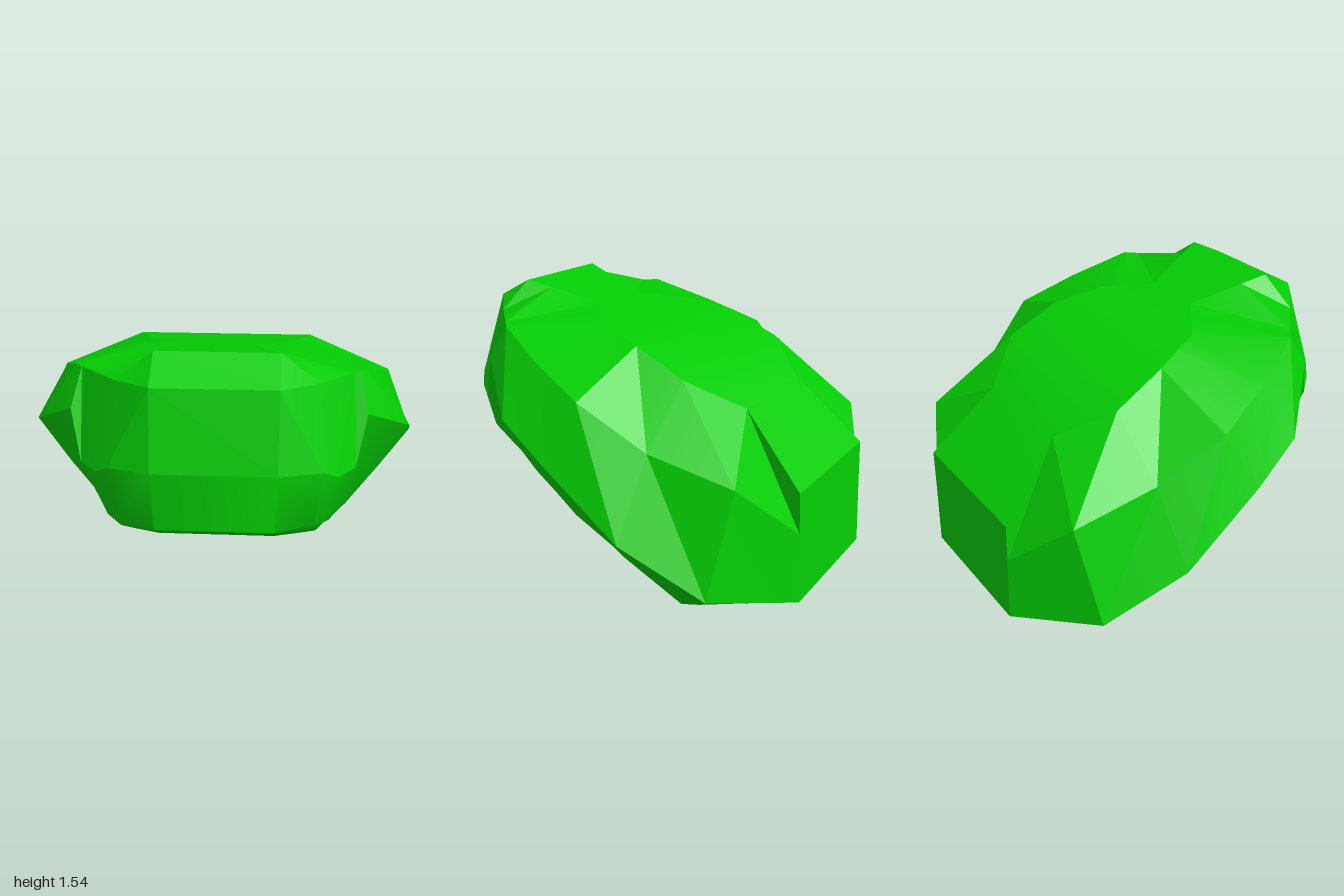
import * as THREE from 'three';
import { toCreasedNormals } from 'three/addons/utils/BufferGeometryUtils.js';

const green = new THREE.MeshStandardMaterial({ color: 0x04cc04 });
green.name = 'bright green';
const dark = new THREE.MeshStandardMaterial({ color: 0x042006 });
dark.name = 'dark underside';

// Vertical sections of the left half, front to back.
// Each runs: crown edge, shoulder, band top, band bottom, rim.
const P = (x, y, z) => new THREE.Vector3(x, y, z);
const sections = [
  [P(.28, 1.54, .73), P(.28, 1.44, .92), P(.28, 1.07, 1), P(.27, .79, 1), P(.27, .67, .83)],
  [P(.24, 1.51, .60), P(.46, 1.41, .75), P(.48, 1.05, .91), P(.45, .78, .90), P(.40, .65, .76)],
  [P(.15, 1.44, .33), P(.61, 1.40, .59), P(.55, 1.00, .85), P(.51, .76, .82), P(.47, .64, .72)],
  [P(.26, 1.42, .24), P(.64, 1.40, .56), P(.64, .99, .73), P(.58, .78, .68), P(.50, .61, .61)],
  [P(.36, 1.40, .16), P(.67, 1.40, .53), P(.69, 1.22, .64), P(.64, .88, .58), P(.55, .57, .50)],
  [P(.40, 1.38, .03), P(.79, 1.29, .23), P(.94, 1.03, .33), P(.79, .78, .32), P(.62, .52, .30)],
  [P(.45, 1.35, -.11), P(.87, 1.18, -.07), P(.99, .89, .06), P(.84, .68, .09), P(.67, .46, .13)],
  [P(.47, 1.23, -.39), P(.76, .96, -.38), P(.99, .59, -.37), P(.83, .43, -.29), P(.63, .26, -.20)],
  [P(.28, 1.08, -.63), P(.67, .85, -.79), P(.82, .33, -.74), P(.68, .20, -.62), P(.57, .08, -.45)],
  [P(.37, .76, -.97), P(.37, .55, -.98), P(.37, .18, -1), P(.36, .07, -.73), P(.33, 0, -.55)],
];
const last = sections.length - 1;
const mirror = (v) => P(-v.x, v.y, v.z);

function quad(out, a, b, c, d) {
  for (const v of [a, b, c, a, c, d]) out.push(v.x, v.y, v.z);
}

// Symmetric wall between two levels, closed at the front and back
function wall(out, up, low) {
  for (let i = 0; i < last; i++) {
    const a = sections[i][up], b = sections[i][low];
    const c = sections[i + 1][low], d = sections[i + 1][up];
    quad(out, a, b, c, d);
    quad(out, mirror(a), mirror(d), mirror(c), mirror(b));
  }
  const f = sections[0], r = sections[last];
  quad(out, mirror(f[up]), mirror(f[low]), f[low], f[up]);
  quad(out, r[up], r[low], mirror(r[low]), mirror(r[up]));
}

// Strips joining the two sides of one level
function cap(out, level, down) {
  for (let i = 0; i < last; i++) {
    const a = sections[i][level], b = sections[i + 1][level];
    if (down) quad(out, mirror(a), mirror(b), b, a);
    else quad(out, a, b, mirror(b), mirror(a));
  }
}

function part(name, out, material, crease) {
  const geo = new THREE.BufferGeometry();
  geo.setAttribute('position', new THREE.Float32BufferAttribute(out, 3));
  const mesh = new THREE.Mesh(toCreasedNormals(geo, crease), material);
  mesh.name = name;
  return mesh;
}

export function createModel() {
  const group = new THREE.Group();
  group.name = 'facetedShell';

  // Domed crown panel
  const crown = [];
  cap(crown, 0, false);
  group.add(part('crown', crown, green, 0.6));

  // Sloping side panels
  const sides = [];
  wall(sides, 0, 1);
  wall(sides, 1, 2);
  group.add(part('sidePanels', sides, green, 0.35));

  // Lower band turning in to the rim
  const band = [];
  wall(band, 2, 3);
  wall(band, 3, 4);
  group.add(part('lowerBand', band, green, 0.85));

  // Dark underside closing the rim
  const underside = [];
  cap(underside, 4, true);
  group.add(part('underside', underside, dark, 0.8));

  return group;
}
